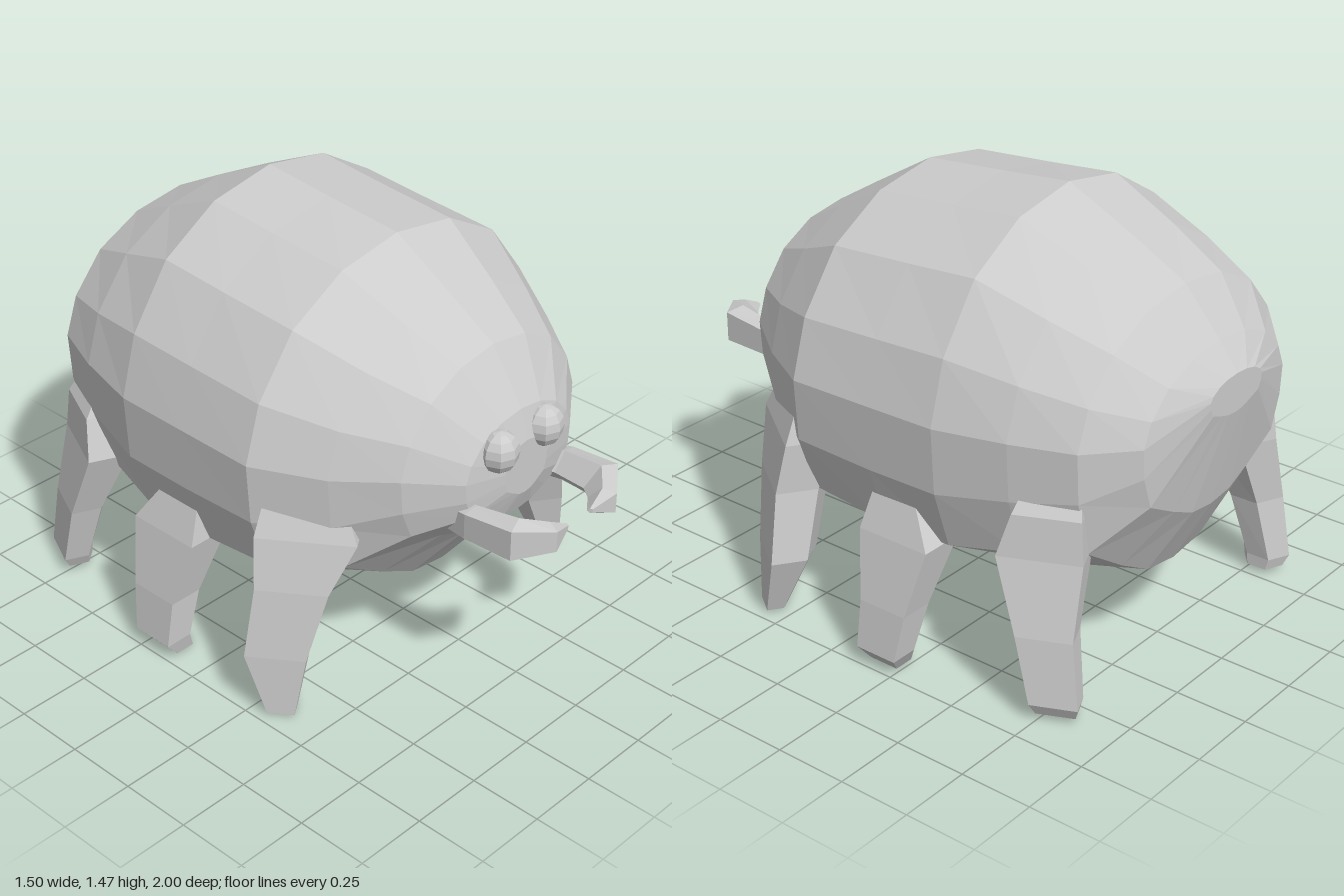
import * as THREE from 'three';

const material = new THREE.MeshStandardMaterial({ color: 0xcccccc, flatShading: true });

// Closed faceted skin through rings of [x, y, z] points; winding is fixed by signed volume.
function loft(rings, name) {
  const n = rings[0].length;
  const tris = [];
  for (let r = 0; r < rings.length - 1; r++) {
    for (let i = 0; i < n; i++) {
      const j = (i + 1) % n;
      const [a, b, c, d] = [rings[r][i], rings[r][j], rings[r + 1][j], rings[r + 1][i]];
      tris.push([a, b, c], [a, c, d]);
    }
  }
  const cap = (ring, flip) => {
    const mid = [0, 1, 2].map(k => ring.reduce((s, p) => s + p[k], 0) / n);
    ring.forEach((p, i) => {
      const q = ring[(i + 1) % n];
      tris.push(flip ? [mid, q, p] : [mid, p, q]);
    });
  };
  cap(rings[0], true);
  cap(rings[rings.length - 1], false);
  const v = p => new THREE.Vector3(...p);
  const volume = tris.reduce((s, [a, b, c]) => s + v(a).dot(v(b).cross(v(c))), 0);
  const points = tris.flatMap(t => (volume < 0 ? [t[0], t[2], t[1]] : t));
  const geometry = new THREE.BufferGeometry();
  geometry.setAttribute('position', new THREE.Float32BufferAttribute(points.flat(), 3));
  geometry.computeVertexNormals();
  const mesh = new THREE.Mesh(geometry, material);
  mesh.name = name;
  return mesh;
}

// Half outline of the body, from top to belly: [width factor, height factor]
const outline = [[0, 1], [0.37, 0.94], [0.69, 0.76], [0.91, 0.47], [1, 0.18],
  [0.98, -0.18], [0.88, -0.56], [0.54, -0.8], [0.27, -0.96], [0, -1]];

// Body sections: z, top, middle, bottom, half width
const sections = [
  [0.75, 0.9, 0.8, 0.71, 0.1],
  [0.72, 1.0, 0.8, 0.63, 0.25],
  [0.6, 1.18, 0.8, 0.53, 0.41],
  [0.42, 1.29, 0.76, 0.3, 0.54],
  [0.2, 1.42, 0.75, 0.24, 0.67],
  [-0.1, 1.445, 0.75, 0.19, 0.67],
  [-0.36, 1.47, 0.75, 0.21, 0.67],
  [-0.6, 1.355, 0.78, 0.25, 0.61],
  [-0.8, 1.25, 0.8, 0.3, 0.53],
  [-0.93, 1.1, 0.83, 0.54, 0.38],
  [-1.0, 1.01, 0.95, 0.88, 0.14],
];

function bodyRing([z, top, mid, bottom, w]) {
  const half = outline.map(([fx, fy]) => [fx * w, mid + fy * (fy > 0 ? top - mid : mid - bottom), z]);
  const mirrored = half.slice(1, -1).reverse().map(([x, y]) => [-x, y, z]);
  return [...half, ...mirrored];
}

// Legs: yaw of the outer face, and sections from hip to foot: x, y, z, half width, half depth
const legs = {
  frontLeg: {
    yaw: 0.61,
    rings: [
      [0.49, 0.75, 0.29, 0.08, 0.14],
      [0.49, 0.63, 0.3, 0.12, 0.18],
      [0.56, 0.46, 0.3, 0.1, 0.13],
      [0.625, 0.22, 0.285, 0.085, 0.11],
      [0.66, 0.01, 0.33, 0.04, 0.05],
    ],
  },
  middleLeg: {
    yaw: 0,
    rings: [
      [0.5, 0.6, -0.16, 0.11, 0.08],
      [0.56, 0.44, -0.2, 0.11, 0.15],
      [0.64, 0.22, -0.2, 0.085, 0.1],
      [0.68, 0.06, -0.19, 0.07, 0.085],
      [0.65, 0.0, -0.18, 0.05, 0.06],
    ],
  },
  backLeg: {
    yaw: -0.43,
    rings: [
      [0.42, 0.78, -0.67, 0.08, 0.08],
      [0.48, 0.66, -0.68, 0.1, 0.12],
      [0.5, 0.52, -0.67, 0.1, 0.15],
      [0.56, 0.28, -0.73, 0.075, 0.1],
      [0.58, 0.06, -0.78, 0.06, 0.085],
      [0.57, 0.02, -0.78, 0.05, 0.07],
    ],
  },
};

function legRing([x, y, z, rx, rz], yaw, side) {
  const c = Math.cos(yaw), s = Math.sin(yaw);
  return [[1, 0.9], [-0.4, 0.9], [-1, 0], [-0.4, -0.9], [1, -0.9]].map(([u, w]) =>
    [side * (x + u * rx * c - w * rz * s), y, z + u * rx * s + w * rz * c]);
}

// Pincer sections: inner x and z, outer x and z, middle y, half height
const pincer = [
  [0.15, 0.66, 0.25, 0.64, 0.69, 0.05],
  [0.16, 0.74, 0.265, 0.73, 0.7, 0.055],
  [0.14, 0.87, 0.26, 0.91, 0.71, 0.065],
  [0.11, 0.91, 0.145, 0.995, 0.71, 0.045],
  [0.05, 0.955, 0.06, 0.97, 0.71, 0.008],
];

function pincerRing([xi, zi, xo, zo, y, h], side) {
  const xm = (xi + xo) / 2, zm = (zi + zo) / 2;
  return [[xi, y, zi], [xm, y + h, zm], [xo, y + h * 0.8, zo], [xo, y - h * 0.8, zo], [xm, y - h, zm]]
    .map(([x, yy, z]) => [side * x, yy, z]);
}

export function createModel() {
  const model = new THREE.Group();
  model.name = 'beetle';
  model.add(loft(sections.map(bodyRing), 'body'));

  for (const [side, label] of [[1, 'left'], [-1, 'right']]) {
    for (const [name, { yaw, rings }] of Object.entries(legs)) {
      model.add(loft(rings.map(r => legRing(r, yaw, side)), `${label} ${name}`));
    }
    model.add(loft(pincer.map(r => pincerRing(r, side)), `${label} pincer`));

    // Eye
    const eye = new THREE.Mesh(new THREE.SphereGeometry(1, 8, 8), material);
    eye.name = `${label} eye`;
    eye.scale.set(0.066, 0.071, 0.064);
    eye.position.set(side * 0.107 - 0.013, 0.91, 0.738);
    model.add(eye);
  }
  return model;
}
